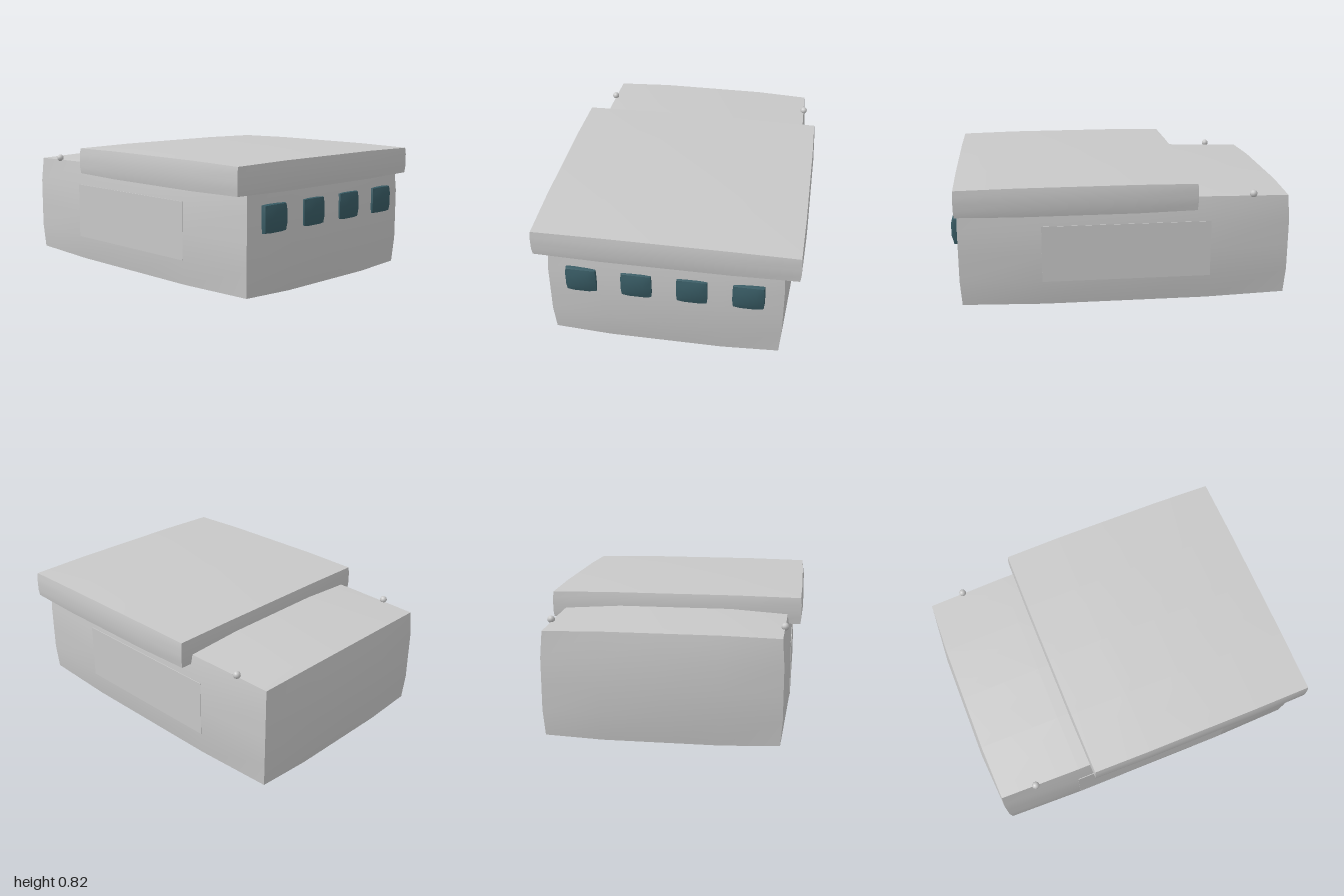
import * as THREE from 'three';

// Falloff over a face: 0 at its border, 1 across its middle half
const fall = t => Math.min(1, (1 - Math.abs(t)) * 2);

// Box whose faces swell outwards; min/max are its corners, edge and face the two swell amounts
function pillowBox(min, max, edge, face) {
  const geo = new THREE.BoxGeometry(2, 2, 2, 4, 4, 4);
  const p = geo.attributes.position;
  for (let i = 0; i < p.count; i++) {
    const t = [p.getX(i), p.getY(i), p.getZ(i)];
    const f = t.map(fall);
    const out = t.map((v, a) => {
      const u = f[(a + 1) % 3], w = f[(a + 2) % 3];
      const swell = edge[a] * (u + w) + (face[a] - 2 * edge[a]) * u * w;
      return (min[a] + max[a]) / 2 + v * ((max[a] - min[a]) / 2 + swell);
    });
    p.setXYZ(i, ...out);
  }
  geo.computeVertexNormals(); // smooth within a face, sharp between faces
  return geo;
}

export function createModel() {
  const group = new THREE.Group();
  const grey = new THREE.MeshStandardMaterial({ name: 'light grey', color: 0xc8c8c8 });
  const teal = new THREE.MeshStandardMaterial({ name: 'dark teal', color: 0x385b64 });
  const add = (name, geo, mat, x = 0, y = 0, z = 0) => {
    const mesh = new THREE.Mesh(geo, mat);
    mesh.name = name;
    mesh.position.set(x, y, z);
    group.add(mesh);
    return mesh;
  };

  // Main hull and overhanging roof slab
  add('body', pillowBox([-0.965, 0.09, -0.66], [0.945, 0.695, 0.66],
    [0.01, 0.01, 0.011], [0.032, 0.033, 0.037]), grey);
  add('roof', pillowBox([-0.41, 0.648, -0.747], [0.962, 0.803, 0.747],
    [0.003, 0.006, 0.005], [0.01, 0.018, 0.013]), grey);

  // Row of bulging windows on the +x end
  const windowGeo = pillowBox([-0.03, -0.073, -0.083], [0.02, 0.073, 0.083],
    [0.004, 0.003, 0.004], [0.015, 0.006, 0.008]);
  for (const z of [-0.475, -0.158, 0.158, 0.475]) add('window', windowGeo, teal, 0.962, 0.507, z);

  // Mirrored details: flat side panels, skids and edge knobs
  const panelGeo = new THREE.BoxGeometry(0.985, 0.335, 0.004);
  const skidGeo = new THREE.BoxGeometry(0.24, 0.08, 0.034);
  const knobGeo = new THREE.SphereGeometry(0.022, 10, 8);
  for (const s of [-1, 1]) {
    add('sidePanel', panelGeo, grey, -0.012, 0.396, s * 0.697);
    add('skid', skidGeo, grey, -0.47, 0.04, s * 0.165);
    add('knob', knobGeo, grey, -0.755, 0.712, s * 0.666);
  }
  return group;
}
